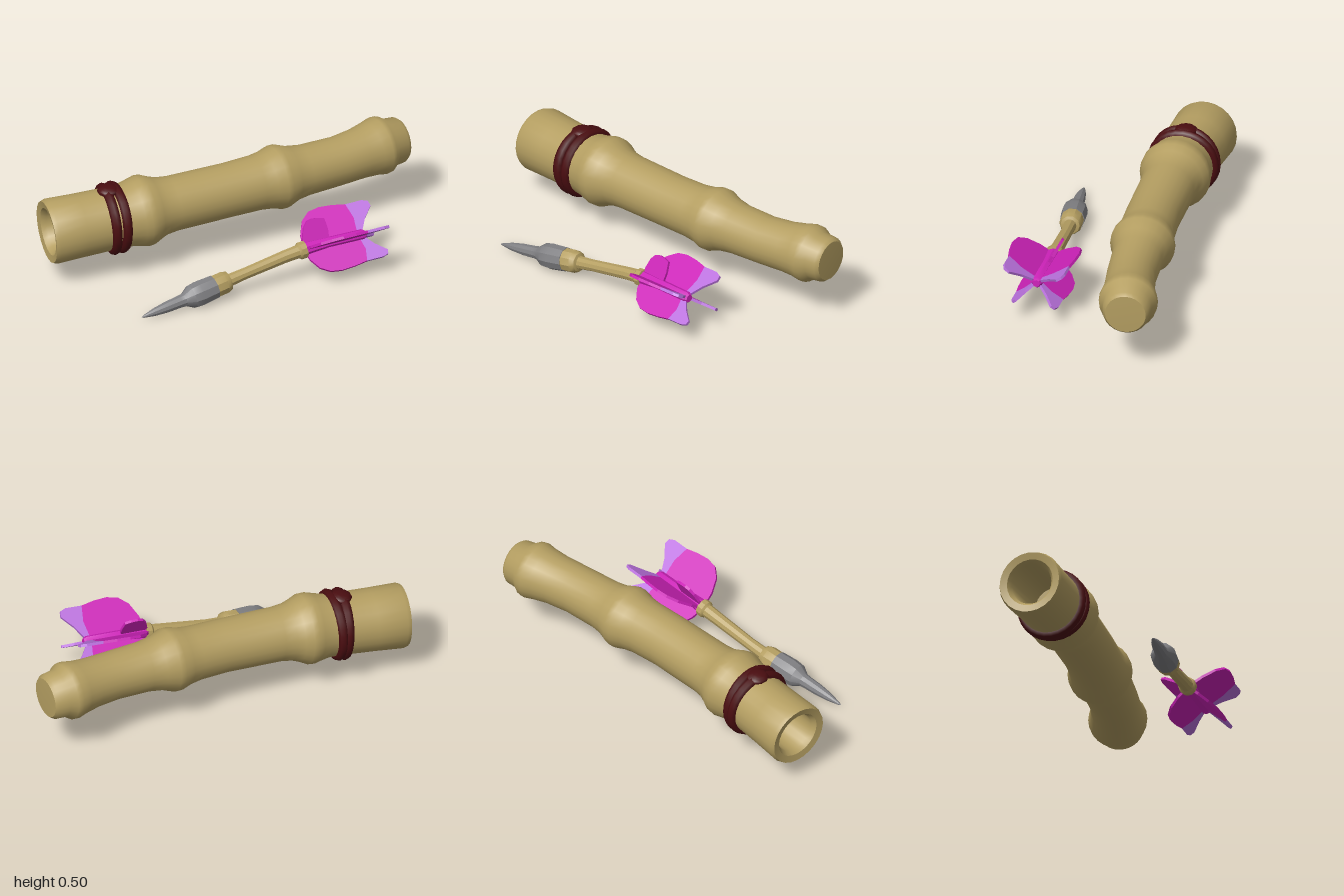
import * as THREE from 'three';
import { toCreasedNormals } from 'three/addons/utils/BufferGeometryUtils.js';

const mat = (name, color) => {
  const m = new THREE.MeshStandardMaterial({ color });
  m.name = name;
  return m;
};
const V = (x, y, z) => new THREE.Vector3(x, y, z);

// Centre point and tangent of a curve at a given x
function frameAt(curve, x) {
  let lo = 0, hi = 1;
  for (let i = 0; i < 30; i++) {
    const mid = (lo + hi) / 2;
    if (curve.getPoint(mid).x < x) lo = mid; else hi = mid;
  }
  const c = curve.getPoint(lo), t = curve.getTangent(lo);
  const u = V(0, 1, 0).cross(t).normalize();
  return { c, t, u, v: t.clone().cross(u) };
}

// Round body along a curve from a profile of [x, radius]
function sweep(curve, profile, sides, crease) {
  const pos = [], idx = [];
  profile.forEach(([x, r], i) => {
    const { c, u, v } = frameAt(curve, x);
    for (let j = 0; j < sides; j++) {
      const a = (j / sides) * Math.PI * 2;
      const p = c.clone().addScaledVector(u, r * Math.cos(a)).addScaledVector(v, r * Math.sin(a));
      pos.push(p.x, p.y, p.z);
      if (i === profile.length - 1) continue;
      const k = (j + 1) % sides, A = i * sides, B = A + sides;
      idx.push(A + j, A + k, B + j, A + k, B + k, B + j);
    }
  });
  const g = new THREE.BufferGeometry();
  g.setAttribute('position', new THREE.Float32BufferAttribute(pos, 3));
  g.setIndex(idx);
  return toCreasedNormals(g, crease);
}

export function createModel() {
  const model = new THREE.Group();
  model.name = 'blowgunAndDart';
  const bamboo = mat('bamboo', 0xb59f62);
  const cord = mat('dark red cord', 0x4a0d10);
  const metal = mat('grey metal', 0x808083);
  const feather = mat('magenta feather', 0xcc22b8);
  const lilac = mat('lilac feather tip', 0xbb72de);
  const add = (parent, name, geo, m) => {
    const mesh = new THREE.Mesh(geo, m);
    mesh.name = name;
    parent.add(mesh);
    return mesh;
  };

  // Bamboo tube: hollow mouth, three nodes, stepped closed end
  const tubePath = new THREE.CatmullRomCurve3([
    V(-0.98, 0.295, 0.05), V(-0.63, 0.315, 0), V(-0.455, 0.328, -0.03), V(0, 0.345, -0.13),
    V(0.28, 0.35, -0.212), V(0.6, 0.355, -0.307), V(0.85, 0.365, -0.415), V(0.98, 0.365, -0.462),
  ]);
  add(model, 'bambooTube', sweep(tubePath, [
    [-0.6, 0], [-0.6, 0.105], [-0.94, 0.108], [-0.965, 0.125], [-0.972, 0.162], [-0.95, 0.17],
    [-0.8, 0.165], [-0.62, 0.162], [-0.55, 0.166], [-0.5, 0.178], [-0.47, 0.186], [-0.44, 0.184],
    [-0.4, 0.165], [-0.36, 0.15], [-0.3, 0.143], [0, 0.14], [0.15, 0.143], [0.21, 0.151],
    [0.26, 0.167], [0.29, 0.167], [0.35, 0.143], [0.42, 0.132], [0.6, 0.127], [0.72, 0.131],
    [0.79, 0.141], [0.835, 0.152], [0.86, 0.149], [0.89, 0.126], [0.945, 0.12], [0.963, 0.105],
    [0.966, 0],
  ], 24, 0.7), bamboo);

  // Cord wrap: two crossed turns and a knot
  const wrap = new THREE.Group();
  wrap.name = 'cordWrap';
  const f = frameAt(tubePath, -0.622);
  wrap.position.copy(f.c);
  wrap.quaternion.setFromRotationMatrix(new THREE.Matrix4().makeBasis(f.u, f.v, f.t));
  for (const s of [-1, 1]) {
    const turn = add(wrap, 'cordTurn', new THREE.TorusGeometry(0.163, 0.026, 8, 28), cord);
    turn.position.z = s * 0.022;
    turn.rotation.set(s * 0.03 + 0.03, s * 0.04, 0);
  }
  const knot = add(wrap, 'cordKnot', new THREE.SphereGeometry(1, 10, 8), cord);
  knot.scale.set(0.06, 0.026, 0.058);
  knot.position.set(0, 0.168, -0.012);
  model.add(wrap);

  // Dart shaft and head
  const dart = new THREE.Group();
  dart.name = 'dart';
  model.add(dart);
  const dartPath = new THREE.CatmullRomCurve3([
    V(-0.575, 0.03, 0.55), V(-0.45, 0.05, 0.51), V(-0.27, 0.078, 0.45), V(-0.08, 0.11, 0.385),
    V(0.32, 0.185, 0.275), V(0.67, 0.207, 0.205),
  ]);
  add(dart, 'dartPoint', sweep(dartPath, [
    [-0.574, 0], [-0.56, 0.007], [-0.5, 0.021], [-0.43, 0.03], [-0.36, 0.033], [-0.335, 0.036],
    [-0.295, 0.062], [-0.25, 0.067], [-0.17, 0.063], [-0.17, 0],
  ], 10, 0.6), metal);
  add(dart, 'dartShaft', sweep(dartPath, [
    [-0.18, 0], [-0.18, 0.06], [-0.115, 0.06], [-0.09, 0.05], [-0.085, 0.034], [0, 0.031],
    [0.22, 0.034], [0.29, 0.036], [0.3, 0.046], [0.33, 0.046], [0.335, 0],
  ], 10, 0.6), bamboo);
  add(dart, 'featherCore', sweep(dartPath, [
    [0.325, 0], [0.325, 0.038], [0.45, 0.03], [0.64, 0.03], [0.655, 0.02], [0.655, 0],
  ], 8, 0.6), feather);

  // Feather fins: magenta vane with a swept lilac tip
  const base = frameAt(dartPath, 0.32).c;
  const axis = frameAt(dartPath, 0.65).c.sub(base).normalize();
  const plate = (pts) => {
    const g = new THREE.ExtrudeGeometry(new THREE.Shape(pts.map((p) => new THREE.Vector2(...p))),
      { depth: 0.014, bevelEnabled: false });
    return g.translate(0, 0, -0.007);
  };
  const vane = [[0, 0], [0.3, 0], [0.315, 0.5], [0.3, 0.9], [0.23, 0.97], [0.16, 1], [0.1, 0.95], [0.05, 0.75], [0.015, 0.4]];
  const tip = [[0.3, 0], [0.335, 0.12], [0.37, 0.4], [0.425, 0.7], [0.42, 0.84], [0.39, 0.9], [0.3, 0.9], [0.315, 0.5]];
  const fin = (name, dy, dz, small) => {
    const out = V(0, dy, dz);
    const len = out.length();
    out.addScaledVector(axis, -out.dot(axis)).normalize();
    const g = new THREE.Group();
    g.name = name;
    g.position.copy(base);
    g.quaternion.setFromRotationMatrix(new THREE.Matrix4().makeBasis(axis, out, axis.clone().cross(out)));
    const size = (pts) => pts.map(([s, r]) => [s * (small ? 0.48 : 1), r * len]);
    add(g, 'vane', plate(size(vane)), feather);
    if (!small) add(g, 'vaneTip', plate(size(tip)), lilac);
    dart.add(g);
  };
  fin('upperFrontFin', 0.12, 0.18);
  fin('upperBackFin', 0.11, -0.18);
  fin('lowerBackFin', -0.105, -0.145);
  fin('lowerFrontFin', -0.1, 0.125);
  fin('smallTopFin', 0.13, -0.065, true);

  return model;
}
